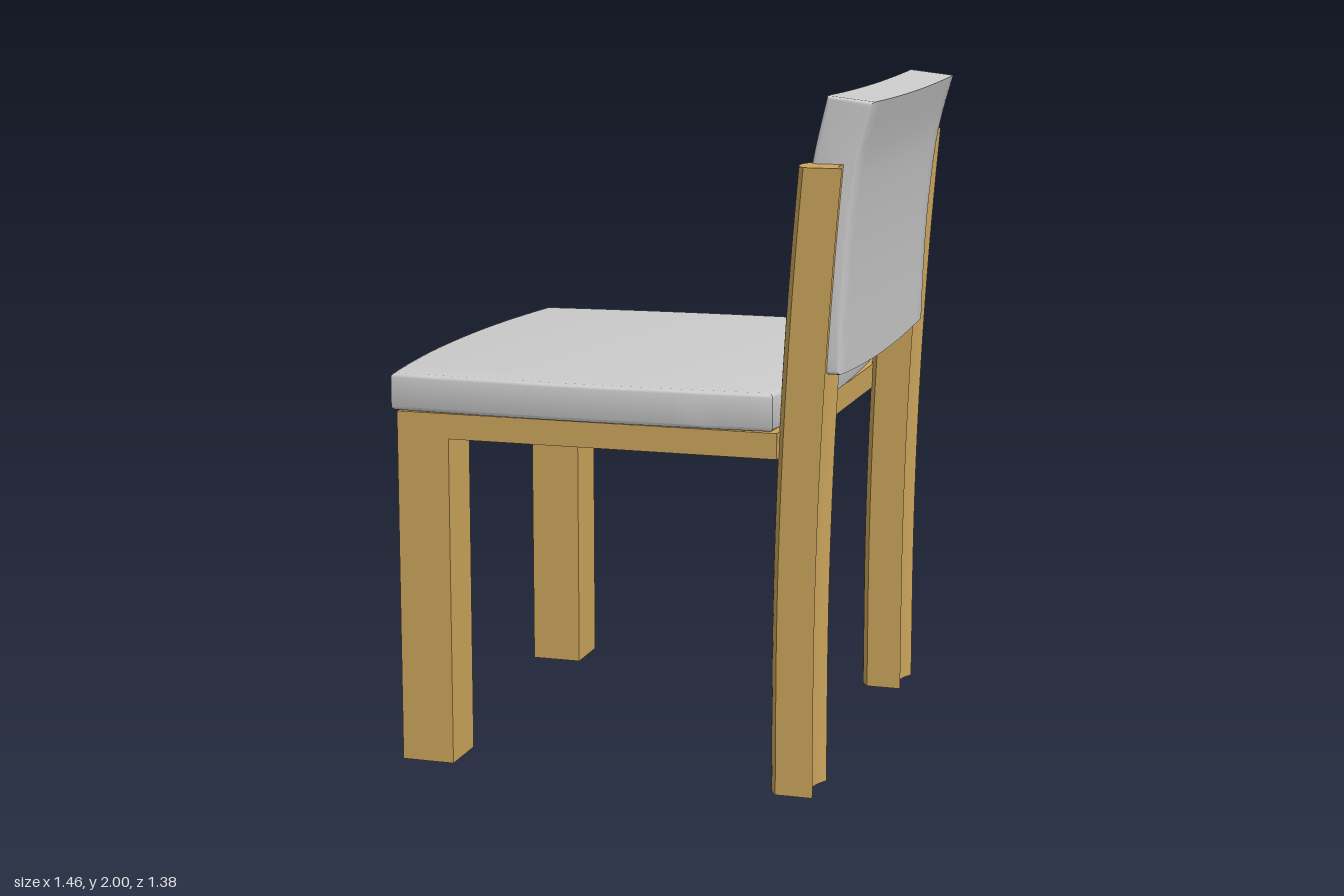
import * as THREE from 'three';
import { toCreasedNormals } from 'three/addons/utils/BufferGeometryUtils.js';

const wood = new THREE.MeshStandardMaterial({ color: 0xcca55c });
const fabric = new THREE.MeshStandardMaterial({ color: 0xcccccc });

// Move every vertex by a rule
function reshape(geometry, rule) {
  const p = geometry.attributes.position;
  const v = new THREE.Vector3();
  for (let i = 0; i < p.count; i++) {
    rule(v.fromBufferAttribute(p, i));
    p.setXYZ(i, v.x, v.y, v.z);
  }
  return geometry;
}

export function createModel() {
  const chair = new THREE.Group();
  chair.name = 'chair';

  const add = (name, geometry, material, x = 0, y = 0, z = 0) => {
    const mesh = new THREE.Mesh(geometry, material);
    mesh.name = name;
    mesh.position.set(x, y, z);
    chair.add(mesh);
  };

  const legZ = { right: -0.551, left: 0.593 };

  // Back leg section: bulging toward the seat, hollow at the rear
  const section = new THREE.Shape();
  section.moveTo(0.03, -0.083);
  section.lineTo(0.14, -0.083);
  section.quadraticCurveTo(0.088, 0, 0.14, 0.083);
  section.lineTo(0.03, 0.083);
  section.quadraticCurveTo(-0.03, 0, 0.03, -0.083);

  const backLeg = new THREE.ExtrudeGeometry(section, { depth: 1.81, steps: 24, curveSegments: 12, bevelEnabled: false });
  backLeg.rotateX(-Math.PI / 2);
  // Sweep the upper part backward
  reshape(backLeg, (v) => {
    const t = Math.max(0, (v.y - 0.3) / 1.51);
    v.x += 0.457 + 0.068 * t * t;
  });
  const backLegGeometry = toCreasedNormals(backLeg, 0.5);
  const frontLegGeometry = new THREE.BoxGeometry(0.16, 1.0, 0.166);

  for (const [side, z] of Object.entries(legZ)) {
    add(`${side} back leg`, backLegGeometry, wood, 0, 0, z);
    add(`${side} front leg`, frontLegGeometry, wood, -0.585, 0.5, z);
  }

  // Solid seat base, flush with the legs
  add('seat base', new THREE.BoxGeometry(1.15, 0.075, 1.31), wood, -0.09, 1.0225, 0.021);

  // Seat cushion with four bowed edges
  const outline = new THREE.Shape();
  outline.moveTo(-0.685, -0.67);
  outline.quadraticCurveTo(-0.11, -0.71, 0.47, -0.667);
  outline.quadraticCurveTo(0.528, 0, 0.457, 0.68);
  outline.quadraticCurveTo(-0.11, 0.715, -0.675, 0.652);
  outline.quadraticCurveTo(-0.78, 0, -0.685, -0.67);
  const cushion = new THREE.ExtrudeGeometry(outline, {
    depth: 0.086, curveSegments: 16, bevelSize: 0.014, bevelOffset: -0.014, bevelThickness: 0.012, bevelSegments: 3,
  });
  cushion.rotateX(-Math.PI / 2);
  add('seat cushion', toCreasedNormals(cushion, 0.7), fabric, 0, 1.072, 0);

  // Backrest side profile, leaning back toward the top
  const front = [[0.505, 1.215], [0.51, 1.4], [0.525, 1.6], [0.55, 1.81], [0.592, 2.0]];
  const rear = [[0.727, 1.985], [0.682, 1.81], [0.656, 1.6], [0.643, 1.4], [0.637, 1.215]];
  const points = (list) => list.map(([x, y]) => new THREE.Vector2(x, y));
  const profile = new THREE.Shape();
  profile.moveTo(...rear[4]);
  profile.splineThru(points(rear.slice(0, 4).reverse()));
  profile.lineTo(...front[4]);
  profile.splineThru(points(front.slice(0, 4).reverse()));
  profile.closePath();
  const backrest = new THREE.ExtrudeGeometry(profile, {
    depth: 1.066, steps: 16, curveSegments: 5, bevelSize: 0.01, bevelOffset: -0.01, bevelThickness: 0.012, bevelSegments: 3,
  });
  backrest.translate(0, 0, -0.513);
  // Sag the lower and upper edges slightly at mid width
  reshape(backrest, (v) => {
    const t = (v.z - 0.02) / 0.545;
    const sag = 0.02 - 0.012 * (v.y - 1.215) / 0.785;
    v.y -= sag * Math.max(0, 1 - t * t);
  });
  add('backrest', toCreasedNormals(backrest, 0.7), fabric);

  return chair;
}
